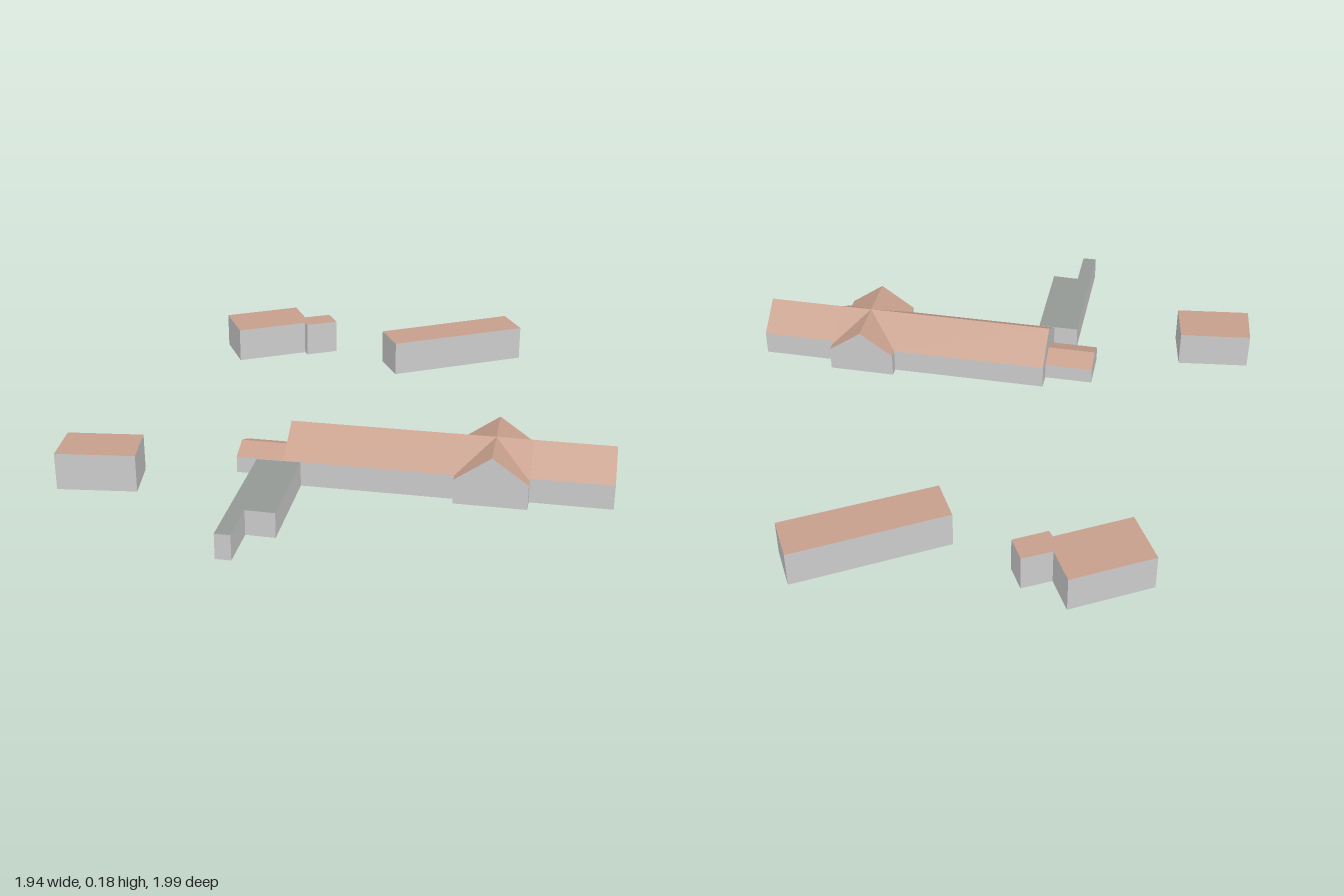
import * as THREE from 'three';

const material = (color) => new THREE.MeshStandardMaterial({ color, side: THREE.DoubleSide, flatShading: true });

// Flat polygons, each a fan of triangles
function faces(name, polygons, mat) {
  const pos = [];
  for (const p of polygons)
    for (let i = 1; i < p.length - 1; i++) pos.push(...p[0], ...p[i], ...p[i + 1]);
  const geo = new THREE.BufferGeometry();
  geo.setAttribute('position', new THREE.Float32BufferAttribute(pos, 3));
  geo.computeVertexNormals();
  const mesh = new THREE.Mesh(geo, mat);
  mesh.name = name;
  return mesh;
}

// Vertical walls along a closed plan outline of [x, z] points, open below
const wallQuads = (outline, h) => outline.map(([x, z], i) => {
  const [x2, z2] = outline[(i + 1) % outline.length];
  return [[x, 0, z], [x2, 0, z2], [x2, h, z2], [x, h, z]];
});

// Mirror polygons across the ridge line
const mirrored = (polys) => [...polys, ...polys.map((p) => p.map(([x, y, z]) => [x, y, -z]).reverse())];

// Building with upright walls and a flat roof
function flatBuilding(name, outline, h, wallMat, roofMat) {
  const g = new THREE.Group();
  g.name = name;
  const shape = new THREE.Shape(outline.map(([x, z]) => new THREE.Vector2(x, -z)));
  const roof = new THREE.Mesh(new THREE.ShapeGeometry(shape).rotateX(-Math.PI / 2).translate(0, h, 0), roofMat);
  roof.name = 'flatRoof';
  g.add(faces('walls', wallQuads(outline, h), wallMat), roof);
  return g;
}

export function createModel() {
  const model = new THREE.Group();
  model.name = 'farmstead';
  const wall = material(0xcccccc);
  const tile = material(0xc79f8c);
  const slate = material(0x949994);

  // Detached flat-roofed outbuildings
  model.add(
    flatBuilding('smallOutbuilding', [[-0.97, 0.525], [-0.69, 0.535], [-0.69, 0.36], [-0.96, 0.35]], 0.135, wall, tile),
    flatBuilding('outbuildingWithAnnex', [[-0.46, -0.70], [-0.19, -0.803], [-0.178, -0.777], [-0.055, -0.823],
      [-0.088, -0.91], [-0.193, -0.873], [-0.24, -1.0], [-0.53, -0.89]], 0.135, wall, tile),
    flatBuilding('longOutbuilding', [[0.20, -0.565], [0.73, -0.77], [0.675, -0.92], [0.145, -0.71]], 0.135, wall, tile),
    flatBuilding('lowWing', [[-0.368, 0.984], [-0.315, 0.992], [-0.288, 0.826], [-0.188, 0.844],
      [-0.13, 0.471], [-0.283, 0.45]], 0.09, wall, slate)
  );

  // Main house: origin where the ridges cross, x along the main ridge
  const house = new THREE.Group();
  house.name = 'mainHouse';
  house.position.set(0.542, 0, 0.433);
  house.rotation.y = -0.155;
  model.add(house);

  const eave = 0.09, ridge = 0.18;
  const west = -0.72, east = 0.41;           // ends of the main ridge
  const wide = 0.14, narrow = 0.118;         // half widths west and east
  const cross = 0.126, gable = 0.174;        // cross wing half width and half length

  const front = [[west, wide], [-cross, wide], [-cross, gable], [cross, gable], [cross, narrow], [east, narrow]];
  const back = front.map(([x, z]) => [x, -z]).reverse();
  const top = [0, ridge, 0];

  // Outer walls, gable triangles and the slivers where the roof narrows
  house.add(faces('houseWalls', [
    ...wallQuads([...front, ...back], eave),
    [[east, eave, narrow], [east, eave, -narrow], [east, ridge, 0]],
    [[west, eave, -wide], [west, eave, wide], [west, ridge, 0]],
    ...mirrored([
      [[-cross, eave, gable], [cross, eave, gable], [0, ridge, gable]],
      [[cross, eave, wide], [cross, eave, narrow], [cross, ridge, 0]],
    ]),
  ], wall));

  // Roof slopes meeting in valleys at the crossing
  house.add(faces('houseRoof', mirrored([
    [[west, eave, wide], [-cross, eave, wide], top, [west, ridge, 0]],
    [[-cross, eave, wide], [-cross, eave, gable], [0, ridge, gable], top],
    [[cross, eave, gable], [cross, eave, wide], top, [0, ridge, gable]],
    [[cross, eave, wide], [cross, ridge, 0], top],
    [[cross, eave, narrow], [east, eave, narrow], [east, ridge, 0], [cross, ridge, 0]],
  ]), tile));

  // Low gabled lean-to at the west end
  const end = -0.903, half = 0.078, low = 0.06, peak = 0.09;
  house.add(
    faces('endAnnexWalls', [
      ...wallQuads([[end, half], [west, half], [west, -half], [end, -half]], low).filter((_, i) => i !== 1),
      [[end, low, -half], [end, low, half], [end, peak, 0]],
    ], wall),
    faces('endAnnexRoof', mirrored([[[end, low, half], [west, low, half], [west, peak, 0], [end, peak, 0]]]), tile)
  );

  return model;
}
